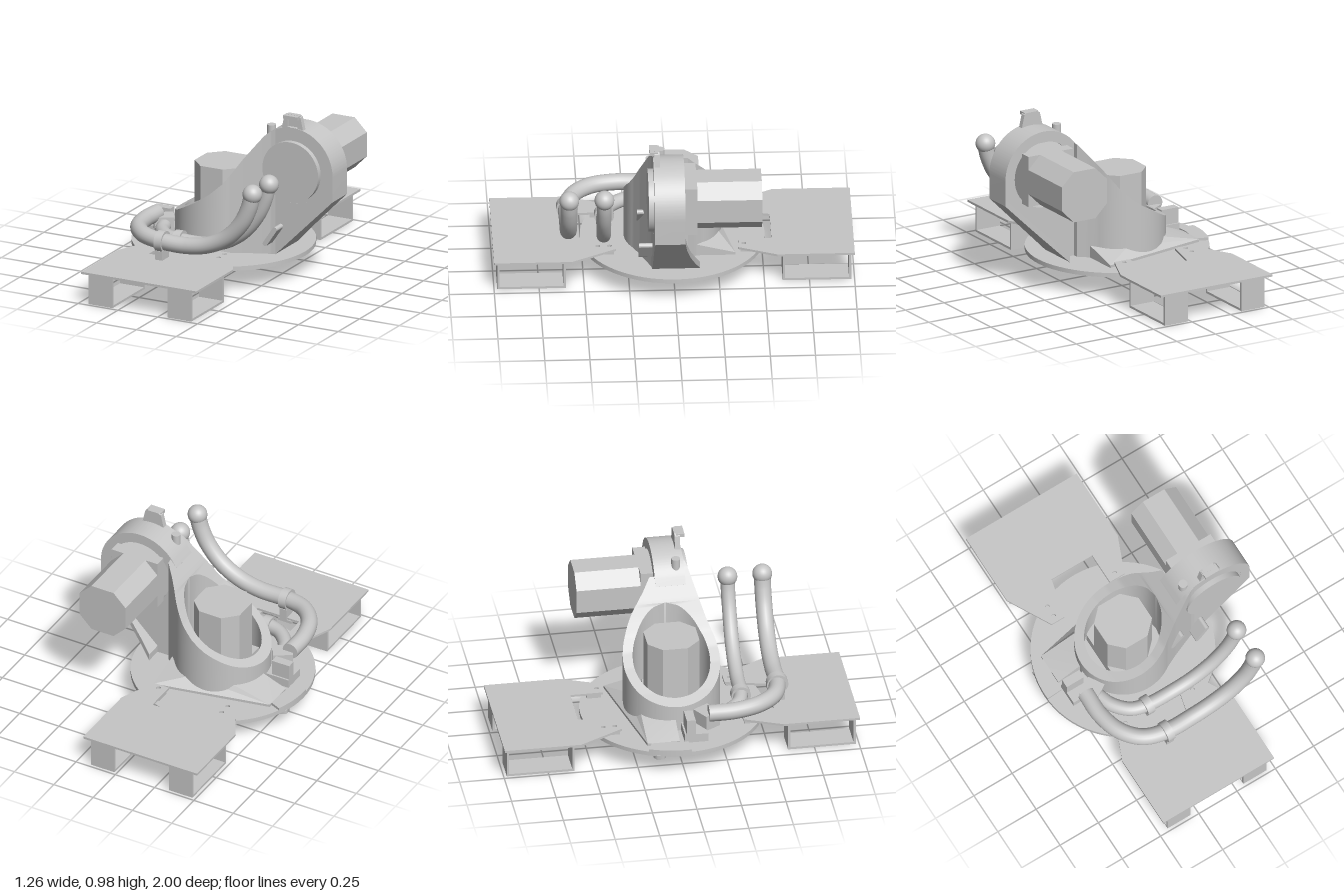
import * as THREE from 'three';
import { toCreasedNormals } from 'three/addons/utils/BufferGeometryUtils.js';

const steel = new THREE.MeshStandardMaterial({ color: 0xc6c6c6 });
steel.name = 'plain grey';

const CX = -0.12; // turret axis

// piecewise-linear rule through [x, value] pairs
function table(pts, x) {
  if (x <= pts[0][0]) return pts[0][1];
  for (let i = 1; i < pts.length; i++) {
    const [x0, a] = pts[i - 1], [x1, b] = pts[i];
    if (x <= x1) return a + (b - a) * (x - x0) / (x1 - x0);
  }
  return pts[pts.length - 1][1];
}

// turret wall lofted in slices along x, blending from a ring into the arm
function turretGeometry() {
  const R = 0.27, RI = 0.215, base = 0.15, floor = 0.17, end = 0.27;
  const top = x => table([[-0.39, 0.3], [-0.3, 0.345], [-0.15, 0.43], [-0.07, 0.485], [0, 0.55], [0.05, 0.62], [0.1, 0.695],
    [0.185, 0.805], [0.21, 0.836], [0.24, 0.862], [0.27, 0.879]], x);
  const ring = (r, x) => Math.sqrt(Math.max(0, r * r - (x - CX) ** 2));
  const front = x => x < 0.03 ? ring(R, x) : table([[0.03, 0.224], [0.1, 0.19], [0.2, 0.148], [0.245, 0.13], [0.27, 0.1255]], x);
  const back = x => x < 0.1 ? -ring(R, x) : table([[0.1, -0.157], [0.14, -0.115], [0.185, -0.075], [0.19, 0.07]], x);
  const xs = [CX - RI, CX + RI, 0.185, 0.19];
  for (let i = 0; i <= 90; i++) xs.push((end - 0.39) / 2 - (end + 0.39) / 2 * Math.cos(Math.PI * i / 90));
  xs.sort((a, b) => a - b);
  const pos = [];
  const quad = (a, b, c, d) => pos.push(...a, ...b, ...c, ...a, ...c, ...d);
  // vertical strip, facing +z when s > 0
  const wall = (x0, x1, z0, z1, low, s) => {
    const q = [[x0, low, z0], [x1, low, z1], [x1, top(x1), z1], [x0, top(x0), z0]];
    quad(...(s > 0 ? q : q.reverse()));
  };
  const cap = (x0, x1, a0, a1, b0, b1) =>
    quad([x0, top(x0), a0], [x0, top(x0), b0], [x1, top(x1), b1], [x1, top(x1), a1]);
  for (let i = 1; i < xs.length; i++) {
    const x0 = xs[i - 1], x1 = xs[i];
    if (x1 - x0 < 1e-6) continue;
    const h0 = ring(RI, x0), h1 = ring(RI, x1);
    wall(x0, x1, front(x0), front(x1), base, 1);
    wall(x0, x1, back(x0), back(x1), base, -1);
    if (h0 + h1 > 1e-6) {
      cap(x0, x1, back(x0), back(x1), -h0, -h1);
      cap(x0, x1, h0, h1, front(x0), front(x1));
      wall(x0, x1, h0, h1, floor, -1);
      wall(x0, x1, -h0, -h1, floor, 1);
    } else cap(x0, x1, back(x0), back(x1), front(x0), front(x1));
  }
  quad([end, base, front(end)], [end, base, back(end)], [end, top(end), back(end)], [end, top(end), front(end)]);
  const g = new THREE.BufferGeometry();
  g.setAttribute('position', new THREE.Float32BufferAttribute(pos, 3));
  return toCreasedNormals(g, 0.6);
}

const polygon = pts => new THREE.Shape(pts.map(p => new THREE.Vector2(...p)));
const circleHole = (x, y, r) => new THREE.Path().absarc(x, y, r, 0, Math.PI * 2, true);
const extrude = (shape, depth, curveSegments = 32) =>
  new THREE.ExtrudeGeometry(shape, { depth, bevelEnabled: false, curveSegments });

export function createModel() {
  const model = new THREE.Group();
  const add = (name, geo, x = 0, y = 0, z = 0, parent = model) => {
    const m = new THREE.Mesh(geo, steel);
    m.name = name;
    m.position.set(x, y, z);
    parent.add(m);
    return m;
  };
  const box = (name, x0, x1, y0, y1, z0, z1, parent) =>
    add(name, new THREE.BoxGeometry(x1 - x0, y1 - y0, z1 - z0), (x0 + x1) / 2, (y0 + y1) / 2, (z0 + z1) / 2, parent);

  // base disc, floor and turret
  add('baseDisc', new THREE.CylinderGeometry(0.512, 0.512, 0.025, 72), CX, 0.1375, 0);
  add('turretFloor', new THREE.CylinderGeometry(0.22, 0.22, 0.02, 48), CX, 0.16, 0);
  add('turretWall', turretGeometry());

  // low sloped gusset behind the turret
  const gusset = extrude(polygon([[-0.53, -0.2], [0.13, -0.34], [0.13, -0.12], [-0.05, -0.24], [-0.3, -0.2], [-0.385, -0.02], [-0.53, -0.02]]), 0.06);
  gusset.rotateX(Math.PI / 2);
  const gp = gusset.attributes.position;
  for (let i = 0; i < gp.count; i++) {
    const far = Math.hypot(gp.getX(i) - CX, gp.getZ(i));
    gp.setY(i, gp.getY(i) < -0.03 ? 0.15 : (far > 0.3 ? 0.165 : 0.22));
  }
  add('rearGusset', toCreasedNormals(gusset, 0.2));

  // arm head, with a bore for the side motor
  const arm = polygon([[0.15, 0.15], [0.27, 0.15], [0.63, 0.51], [0.63, 0.655]]);
  arm.absarc(0.38, 0.655, 0.25, 0, Math.PI * 0.805, false);
  arm.lineTo(0.15, 0.76);
  arm.holes.push(circleHole(0.38, 0.655, 0.19));
  add('armHead', toCreasedNormals(extrude(arm, 0.17, 48), 0.5), 0, 0, -0.045);
  const disc = (name, r, z0, z1) =>
    add(name, new THREE.CylinderGeometry(r, r, z1 - z0, 56).rotateX(Math.PI / 2), 0.38, 0.655, (z0 + z1) / 2);
  disc('boreFloor', 0.192, 0.06, 0.124);
  disc('armCover', 0.175, 0.12, 0.155);

  // flange along the sloping underside of the arm, wider towards the base
  const flange = extrude(polygon([[0.27, -0.04], [0.27, -0.14], [0.34, -0.11], [0.43, -0.08], [0.53, -0.058], [0.63, -0.045], [0.63, -0.04]]), 0.04);
  flange.rotateX(Math.PI / 2);
  const fp = flange.attributes.position;
  for (let i = 0; i < fp.count; i++) fp.setY(i, fp.getY(i) + fp.getX(i) - 0.08);
  add('armFlange', toCreasedNormals(flange, 0.5));

  // motors: square flange plus chamfered body, built along +z
  const motor = (name, foot, length) => {
    const g = new THREE.Group();
    g.name = name;
    const a = 0.146, c = 0.07;
    const oct = polygon([[-a, -c], [-c, -a], [c, -a], [a, -c], [a, c], [c, a], [-c, a], [-a, c]]);
    add('motorBody', extrude(oct, length - foot), 0, 0, foot, g);
    box('motorFoot', -a, a, -a, a, 0, foot, g);
    model.add(g);
    return g;
  };
  const turretMotor = motor('turretMotor', 0.08, 0.43);
  turretMotor.rotation.x = -Math.PI / 2;
  turretMotor.position.set(CX, 0.17, 0);
  const armMotor = motor('armMotor', 0.18, 0.54);
  armMotor.rotation.y = Math.PI;
  armMotor.position.set(0.378, 0.655, 0.065);

  // hooded lug and pin on top of the arm
  const lug = polygon([[-0.067, 0], [0.067, 0], [0.05, 0.075], [0.035, 0.085], [-0.035, 0.085], [-0.05, 0.075]]);
  add('lugBack', extrude(lug, 0.012), 0.375, 0.895, 0.09);
  lug.holes.push(polygon([[-0.032, 0.01], [-0.032, 0.055], [-0.022, 0.065], [0.022, 0.065], [0.032, 0.055], [0.032, 0.01]]));
  add('lugFrame', extrude(lug, 0.02), 0.375, 0.895, 0.1);
  box('lugLip', 0.33, 0.42, 0.96, 0.979, 0.1, 0.147);
  add('armPin', new THREE.CylinderGeometry(0.025, 0.025, 0.14, 24), 0.223, 0.82, 0.08);

  // slanted ribs on the front of the arm
  for (const [x0, y0, x1, y1, z] of [[0.075, 0.365, 0.14, 0.44, 0.16], [0.245, 0.23, 0.305, 0.32, 0.12]]) {
    const t = Math.atan2(y1 - y0, x1 - x0), r = 0.014, s = new THREE.Shape();
    s.absarc(x0, y0, r, t + Math.PI / 2, t + Math.PI * 1.5, false);
    s.absarc(x1, y1, r, t - Math.PI / 2, t + Math.PI / 2, false);
    add('armRib', extrude(s, z > 0.14 ? 0.045 : 0.08, 8), 0, 0, z);
  }

  // fork plates with open pockets, the second turned half round
  for (const name of ['rearForkPlate', 'frontForkPlate']) {
    const g = new THREE.Group();
    g.name = name;
    const plate = polygon([[-0.52, -1], [0.203, -1], [0.203, -0.57], [0.115, -0.36], [0.02, -0.36], [0.02, -0.545],
      [-0.245, -0.545], [-0.3, -0.32], [-0.385, -0.32], [-0.52, -0.57]]);
    for (const [x, z] of [[-0.35, -0.42], [-0.35, -0.355], [0.07, -0.39]]) plate.holes.push(circleHole(x, z, 0.013));
    add('plate', extrude(plate, 0.013, 10).rotateX(Math.PI / 2), 0, 0.188, 0, g);
    for (const x of [-0.48, 0.015]) {
      const tube = polygon([[-0.19, 0], [0.19, 0], [0.19, 0.176], [-0.19, 0.176]]);
      tube.holes.push(polygon([[-0.177, 0.013], [-0.177, 0.163], [0.177, 0.163], [0.177, 0.013]]));
      add('forkPocket', extrude(tube, 0.15).rotateY(Math.PI / 2), x, 0, -0.792, g);
    }
    box('tabSpacer', -0.38, -0.32, 0.15, 0.175, -0.45, -0.33, g);
    box('tabSpacer', 0.03, 0.1, 0.15, 0.175, -0.45, -0.37, g);
    if (name === 'frontForkPlate') {
      g.rotation.y = Math.PI;
      g.position.x = -0.278;
    }
    model.add(g);
  }

  // hoses with ball ends
  const hose = (name, pts, r) => {
    const path = new THREE.CatmullRomCurve3(pts.map(p => new THREE.Vector3(...p)));
    add(name, new THREE.TubeGeometry(path, 80, r, 20));
    add(name + 'Ball', new THREE.SphereGeometry(0.055, 28, 18), ...pts[pts.length - 1]);
    const a = path.getPoint(0), d = path.getTangent(0);
    const plug = add(name + 'End', new THREE.CylinderGeometry(r, r, 0.012, 20), a.x, a.y, a.z);
    plug.quaternion.setFromUnitVectors(new THREE.Vector3(0, 1, 0), d);
  };
  hose('outerHose', [[-0.46, 0.286, 0.16], [-0.46, 0.289, 0.3], [-0.42, 0.293, 0.44], [-0.33, 0.292, 0.54], [-0.2, 0.288, 0.58],
    [-0.03, 0.288, 0.583], [0.1, 0.315, 0.585], [0.22, 0.38, 0.588], [0.31, 0.48, 0.59], [0.355, 0.575, 0.59], [0.375, 0.655, 0.59]], 0.047);
  hose('innerHose', [[-0.395, 0.23, 0.19], [-0.365, 0.23, 0.265], [-0.29, 0.232, 0.345], [-0.2, 0.235, 0.375], [-0.03, 0.24, 0.383],
    [0.1, 0.275, 0.388], [0.22, 0.355, 0.392], [0.31, 0.47, 0.395], [0.355, 0.57, 0.395], [0.375, 0.655, 0.395]], 0.04);

  // hose clamps and their feet
  for (const [y, z, r] of [[0.288, 0.58, 0.06], [0.235, 0.375, 0.055]]) {
    const band = new THREE.Shape().absarc(0, 0, r, 0, Math.PI * 2, false);
    band.holes.push(circleHole(0, 0, r - 0.016));
    add('hoseClamp', toCreasedNormals(extrude(band, 0.045, 16).rotateY(Math.PI / 2), 0.5), -0.22, y, z);
    box('clampFoot', -0.22, -0.175, 0.17, y - r + 0.012, z - 0.04, z + 0.04);
  }
  box('clampPlate', -0.25, -0.165, 0.158, 0.175, 0.54, 0.62);

  // hose mount and rim pad on the right of the turret
  box('hoseMount', -0.53, -0.37, 0.15, 0.2, 0.01, 0.14);
  box('mountUpright', -0.53, -0.42, 0.2, 0.29, 0.02, 0.07);
  const connector = box('hoseConnector', -0.47, -0.36, 0.19, 0.28, 0.1, 0.2);
  connector.rotation.y = 0.55;
  const pad = new THREE.Shape().absarc(0, 0, 0.512, Math.PI * 0.98, Math.PI * 1.13, false);
  pad.absarc(0, 0, 0.42, Math.PI * 1.13, Math.PI * 0.98, true);
  add('rimPad', extrude(pad, 0.015, 16).rotateX(Math.PI / 2), CX, 0.165, 0);
  add('rimBolt', new THREE.CylinderGeometry(0.037, 0.037, 0.026, 6), -0.58, 0.117, -0.14);

  return model;
}
